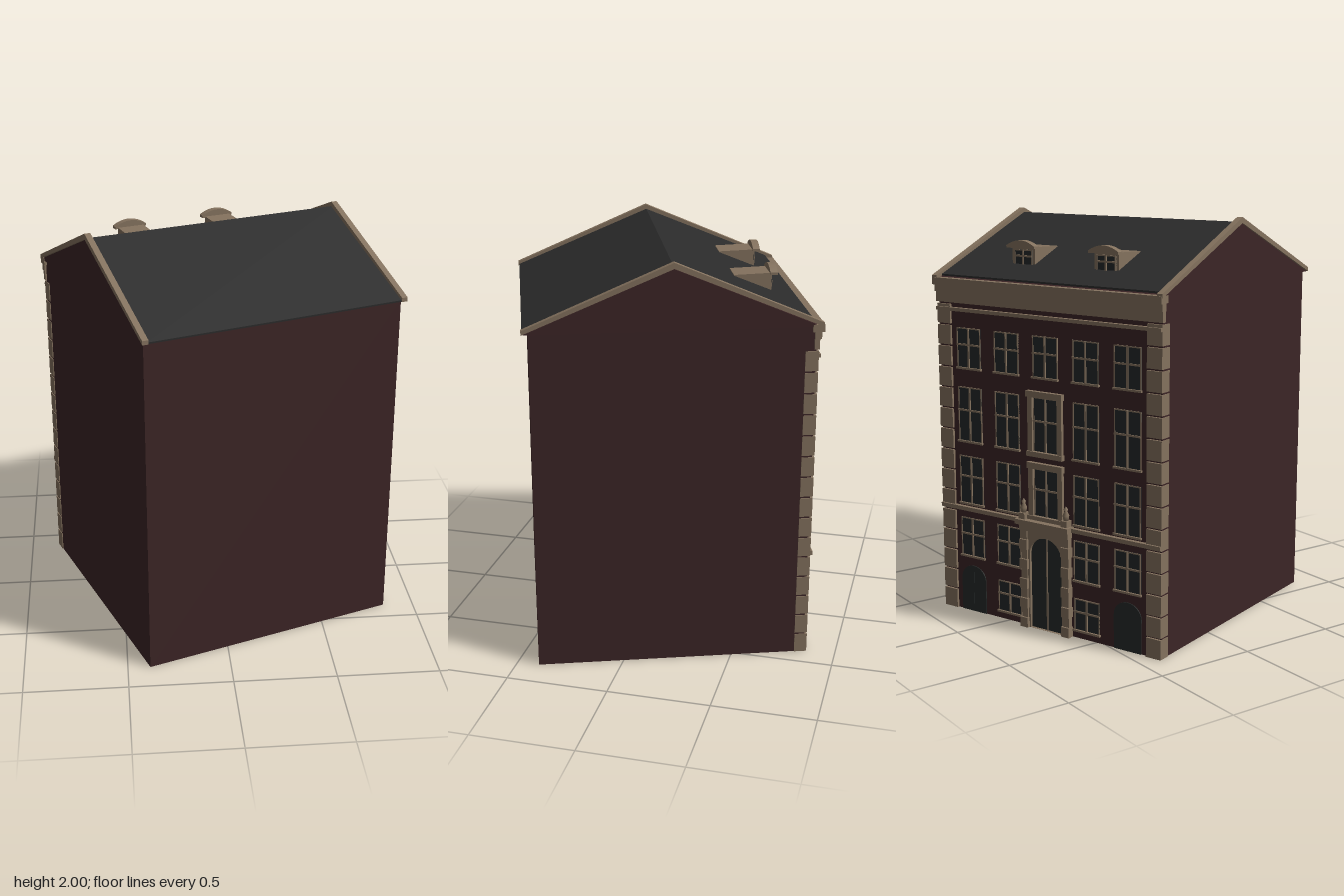
import * as THREE from 'three';

const mat = (name, color) => {
  const m = new THREE.MeshStandardMaterial({ color });
  m.name = name;
  return m;
};

export function createModel() {
  const brick = mat('brick', 0x3c2526);
  const stone = mat('sandstone', 0x84725e);
  const slate = mat('slate', 0x2b2b2b);
  const glass = mat('glass', 0x242829);
  const wood = mat('doorWood', 0x262a29);

  const house = new THREE.Group();
  house.name = 'townHouse';
  const H = 0.659; // half side of the square body, facade at local +z

  const add = (name, geo, material, parent = house) => {
    const m = new THREE.Mesh(geo, material);
    m.name = name;
    parent.add(m);
    return m;
  };
  // Box given by its centre x, bottom and top y, back and front z
  const box = (name, x, w, y0, y1, z0, z1, material, parent) => {
    const m = add(name, new THREE.BoxGeometry(w, y1 - y0, z1 - z0), material, parent);
    m.position.set(x, (y0 + y1) / 2, (z0 + z1) / 2);
    return m;
  };
  // Profile of [z, y] points extruded along x, centred on x
  const profile = (name, pts, x, w, material, parent) => {
    const s = new THREE.Shape(pts.map(p => new THREE.Vector2(...p)));
    const g = new THREE.ExtrudeGeometry(s, { depth: w, bevelEnabled: false });
    g.translate(0, 0, -w / 2).rotateY(-Math.PI / 2).translate(x, 0, 0);
    return add(name, g, material, parent);
  };
  // Round-headed outline standing on y0
  const archPath = (P, half, y0, spring, rise) => {
    const p = new P();
    p.moveTo(-half, y0);
    p.lineTo(half, y0);
    p.lineTo(half, spring);
    p.absellipse(0, spring, half, rise, 0, Math.PI, false, 0);
    p.lineTo(-half, y0);
    return p;
  };
  const plate = (name, shape, x, z, depth, material) => {
    const g = new THREE.ExtrudeGeometry(shape, { depth, bevelEnabled: false, curveSegments: 10 });
    return add(name, g.translate(x, 0, z), material);
  };

  // Body and overhanging gable block
  box('body', 0, 2 * H, 0, 1.69, -H, H, brick);
  profile('gables', [[-0.68, 1.685], [0.68, 1.685], [0, 1.97]], 0, 1.342, brick);

  // Roof slopes and stone verges
  profile('backSlope', [[-0.685, 1.685], [0, 1.968], [0, 1.977], [-0.685, 1.693]], 0, 1.31, slate);
  profile('frontSlope', [[0, 1.968], [0.65, 1.7], [0.65, 1.709], [0, 1.977]], 0, 1.31, slate);
  for (const s of [-1, 1]) {
    profile('verge', [[-0.69, 1.685], [0, 1.972], [0.69, 1.685], [0.69, 1.705], [0, 2], [-0.69, 1.705]],
      s * 0.66, 0.03, stone);
  }

  // Cornice and string courses
  box('corniceFrieze', 0, 1.335, 1.575, 1.625, H - 0.01, H + 0.014, stone);
  box('corniceMiddle', 0, 1.34, 1.625, 1.66, H - 0.01, H + 0.022, stone);
  box('corniceTop', 0, 1.345, 1.66, 1.695, H - 0.02, 0.694, stone);
  box('upperString', 0, 1.325, 1.535, 1.552, H - 0.005, H + 0.022, stone);
  box('lowerString', 0, 1.325, 0.53, 0.55, H - 0.005, H + 0.022, stone);

  // Corner quoins
  for (const s of [-1, 1]) {
    for (let i = 0; i < 15; i++) {
      const y = i * 0.105;
      box('quoin', s * 0.622, 0.082, y, y + 0.096, H - 0.05, H + 0.012, stone);
    }
  }

  // Cross window with thin frame and sill
  const makeWindow = (x, y0, y1, w = 0.15, z = H, parent = house) => {
    const g = new THREE.Group();
    g.name = 'window';
    parent.add(g);
    const bar = 0.009, h = y1 - y0;
    box('pane', x, w, y0, y1, z - 0.004, z + 0.003, glass, g);
    box('mullion', x, bar, y0, y1, z, z + 0.009, stone, g);
    box('transom', x, w, y0 + h * 0.56, y0 + h * 0.56 + bar, z, z + 0.009, stone, g);
    for (const s of [-1, 1]) box('jamb', x + s * (w / 2 - 0.003), 0.006, y0, y1, z, z + 0.006, stone, g);
    box('head', x, w, y1 - 0.006, y1, z, z + 0.006, stone, g);
    box('sill', x, w + 0.008, y0 - 0.006, y0 + 0.004, z, z + 0.013, stone, g);
  };
  // Heavy stone surround for the middle windows
  const surround = (y0, y1) => {
    for (const s of [-1, 1]) box('surroundSide', s * 0.088, 0.028, y0 - 0.02, y1 + 0.02, H - 0.004, H + 0.016, stone);
    box('surroundHead', 0, 0.214, y1, y1 + 0.03, H - 0.004, H + 0.022, stone);
    box('surroundSill', 0, 0.214, y0 - 0.025, y0, H - 0.004, H + 0.022, stone);
  };

  const floors = [[0.565, 0.81], [0.885, 1.16], [1.255, 1.455]];
  for (let c = -2; c <= 2; c++) {
    const x = c * 0.236;
    floors.forEach(([a, b], i) => {
      makeWindow(x, a, b);
      if (c === 0 && i < 2) surround(a + 0.01, b);
    });
    if (c !== 0) makeWindow(x, 0.29, 0.49);
    if (Math.abs(c) === 1) makeWindow(x, 0.04, 0.2);
    if (Math.abs(c) === 2) {
      plate('cellarDoor', archPath(THREE.Shape, 0.078, 0, 0.17, 0.07), x, H - 0.003, 0.008, wood);
      box('cellarDoorPost', x, 0.004, 0, 0.235, H, H + 0.007, wood);
    }
  }

  // Entrance portal: arched door, surround, banded pilasters, entablature, finials
  plate('door', archPath(THREE.Shape, 0.098, 0, 0.38, 0.09), 0, H - 0.003, 0.008, wood);
  box('doorPost', 0, 0.008, 0, 0.465, H, H + 0.009, stone);
  const frame = new THREE.Shape([[-0.118, 0], [0.118, 0], [0.118, 0.51], [-0.118, 0.51]]
    .map(p => new THREE.Vector2(...p)));
  frame.holes.push(archPath(THREE.Path, 0.096, 0.0005, 0.38, 0.09));
  plate('doorSurround', frame, 0, H - 0.003, 0.022, stone);
  for (const s of [-1, 1]) {
    box('pilaster', s * 0.126, 0.036, 0, 0.5, H - 0.003, H + 0.026, stone);
    for (let i = 0; i < 5; i++) {
      box('pilasterBand', s * 0.126, 0.046, i * 0.1, i * 0.1 + 0.05, H - 0.003, H + 0.035, stone);
    }
    box('finialBase', s * 0.128, 0.036, 0.55, 0.585, H, H + 0.04, stone);
    const finial = add('finial', new THREE.LatheGeometry(
      [[0, 0], [0.012, 0], [0.017, 0.025], [0.007, 0.045], [0.011, 0.055], [0, 0.07]]
        .map(p => new THREE.Vector2(...p)), 10), stone);
    finial.position.set(s * 0.128, 0.585, H + 0.02);
  }
  box('entablature', 0, 0.296, 0.497, 0.53, H - 0.003, H + 0.036, stone);
  box('portalCornice', 0, 0.32, 0.53, 0.555, H - 0.003, 0.714, stone);

  // Dormers with a curved pediment
  for (const x of [-0.245, 0.245]) {
    const dormer = new THREE.Group();
    dormer.name = 'dormer';
    house.add(dormer);
    profile('dormerBody', [[0.326, 1.83], [0.505, 1.73], [0.505, 1.852], [0.326, 1.846]], x, 0.138, stone, dormer);
    makeWindow(x, 1.757, 1.838, 0.112, 0.505, dormer);
    const cap = new THREE.Shape();
    cap.moveTo(-0.085, 1.845);
    cap.lineTo(0.085, 1.845);
    cap.lineTo(0.085, 1.857);
    cap.quadraticCurveTo(0, 1.91, -0.085, 1.857);
    const g = new THREE.ExtrudeGeometry(cap, { depth: 0.035, bevelEnabled: false, curveSegments: 10 });
    add('dormerPediment', g.translate(x, 0, 0.498), stone, dormer);
  }

  // The house stands turned, with its facade towards the back
  house.rotation.y = THREE.MathUtils.degToRad(200.2);
  const model = new THREE.Group();
  model.name = 'model';
  model.add(house);
  return model;
}
